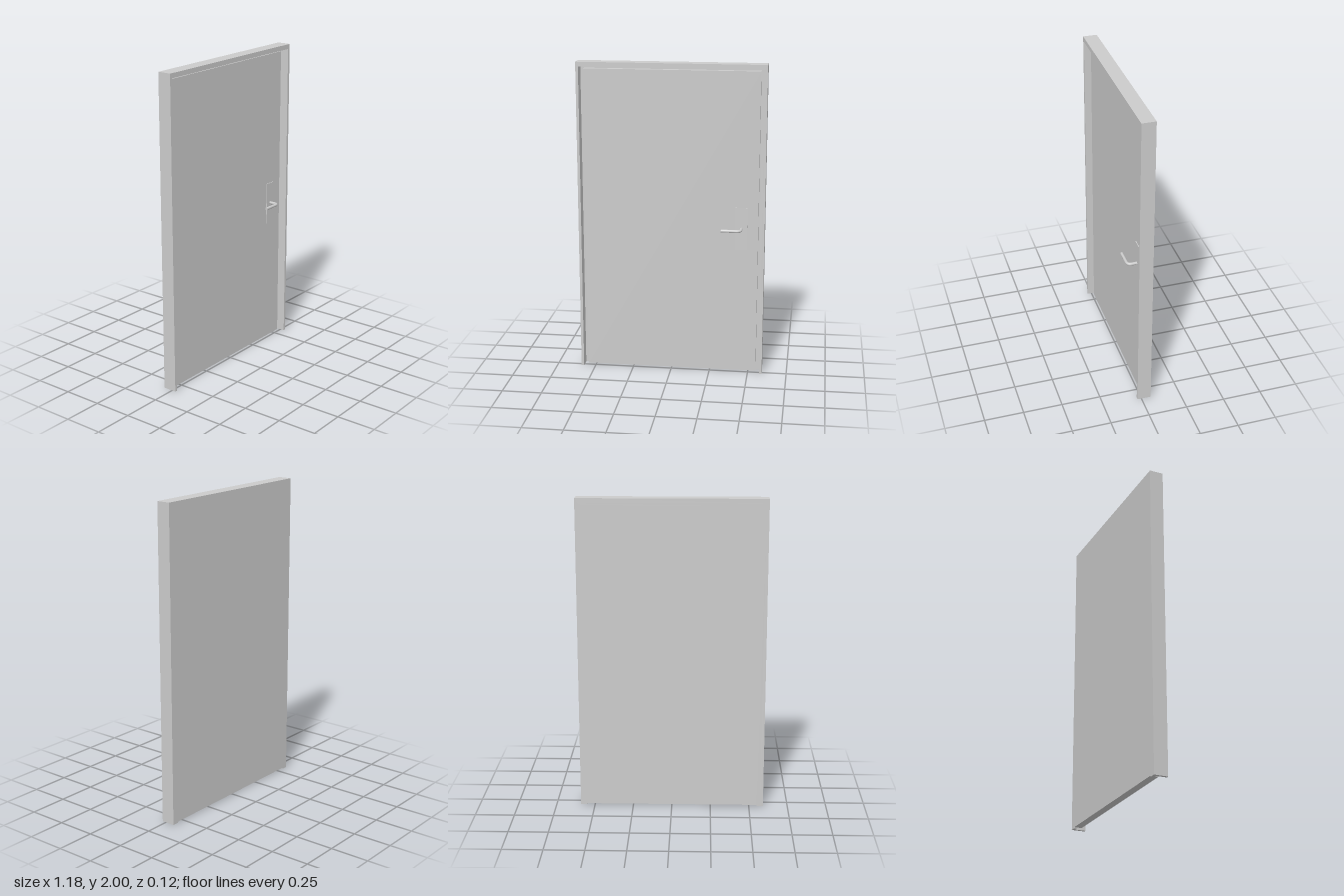
import * as THREE from 'three';

const grey = () => new THREE.MeshStandardMaterial({ color: 0xcccccc });
const BACK = -0.062, FRONT = 0.026, LEAF_FRONT = -0.012;

// Upside-down U (two jambs and a head) extruded from z0 to z1
function archFrame(name, outerX, outerY, innerX, innerY, z0, z1) {
  const shape = new THREE.Shape([
    [-outerX, 0], [-innerX, 0], [-innerX, innerY], [innerX, innerY],
    [innerX, 0], [outerX, 0], [outerX, outerY], [-outerX, outerY],
  ].map(([x, y]) => new THREE.Vector2(x, y)));
  const geo = new THREE.ExtrudeGeometry(shape, { depth: z1 - z0, bevelEnabled: false });
  geo.translate(0, 0, z0);
  const mesh = new THREE.Mesh(geo, grey());
  mesh.name = name;
  return mesh;
}

// Box given by its minimum and maximum corners
function box(name, [x0, y0, z0], [x1, y1, z1]) {
  const mesh = new THREE.Mesh(new THREE.BoxGeometry(x1 - x0, y1 - y0, z1 - z0), grey());
  mesh.position.set((x0 + x1) / 2, (y0 + y1) / 2, (z0 + z1) / 2);
  mesh.name = name;
  return mesh;
}

// Bent lever: a post out of the plate, a rounded elbow, then a straight grip
function lever() {
  const group = new THREE.Group();
  group.name = 'leverHandle';
  const r = 0.0095, y = 0.96, px = 0.443, gz = 0.0515, bend = 0.026, tip = 0.32;
  const v = (x, z) => new THREE.Vector3(x, y, z);
  const path = new THREE.CurvePath();
  path.add(new THREE.LineCurve3(v(px, LEAF_FRONT), v(px, gz - bend)));
  path.add(new THREE.QuadraticBezierCurve3(v(px, gz - bend), v(px, gz), v(px - bend, gz)));
  path.add(new THREE.LineCurve3(v(px - bend, gz), v(tip, gz)));
  const rod = new THREE.Mesh(new THREE.TubeGeometry(path, 48, r, 12, false), grey());
  rod.name = 'leverRod';
  const cap = new THREE.Mesh(new THREE.CircleGeometry(r, 12), grey());
  cap.position.copy(v(tip, gz));
  cap.rotation.y = -Math.PI / 2;
  cap.name = 'leverEndCap';
  group.add(rod, cap);
  return group;
}

export function createModel() {
  const door = new THREE.Group();
  door.name = 'door';

  // Frame: narrow full-depth lip with a thin flange at the back
  const frame = new THREE.Group();
  frame.name = 'frame';
  frame.add(
    archFrame('frameLip', 0.592, 2, 0.575, 1.97, BACK, FRONT),
    archFrame('frameFlange', 0.575, 1.97, 0.55, 1.955, BACK, BACK + 0.016),
  );

  // Leaf, clear of the floor
  const leaf = box('leaf', [-0.55, 0.007, BACK], [0.55, 1.955, LEAF_FRONT]);

  // Handle and its back plate
  const plate = box('handlePlate', [0.405, 0.825, LEAF_FRONT], [0.481, 1.097, LEAF_FRONT + 0.005]);

  door.add(frame, leaf, plate, lever());
  return door;
}
